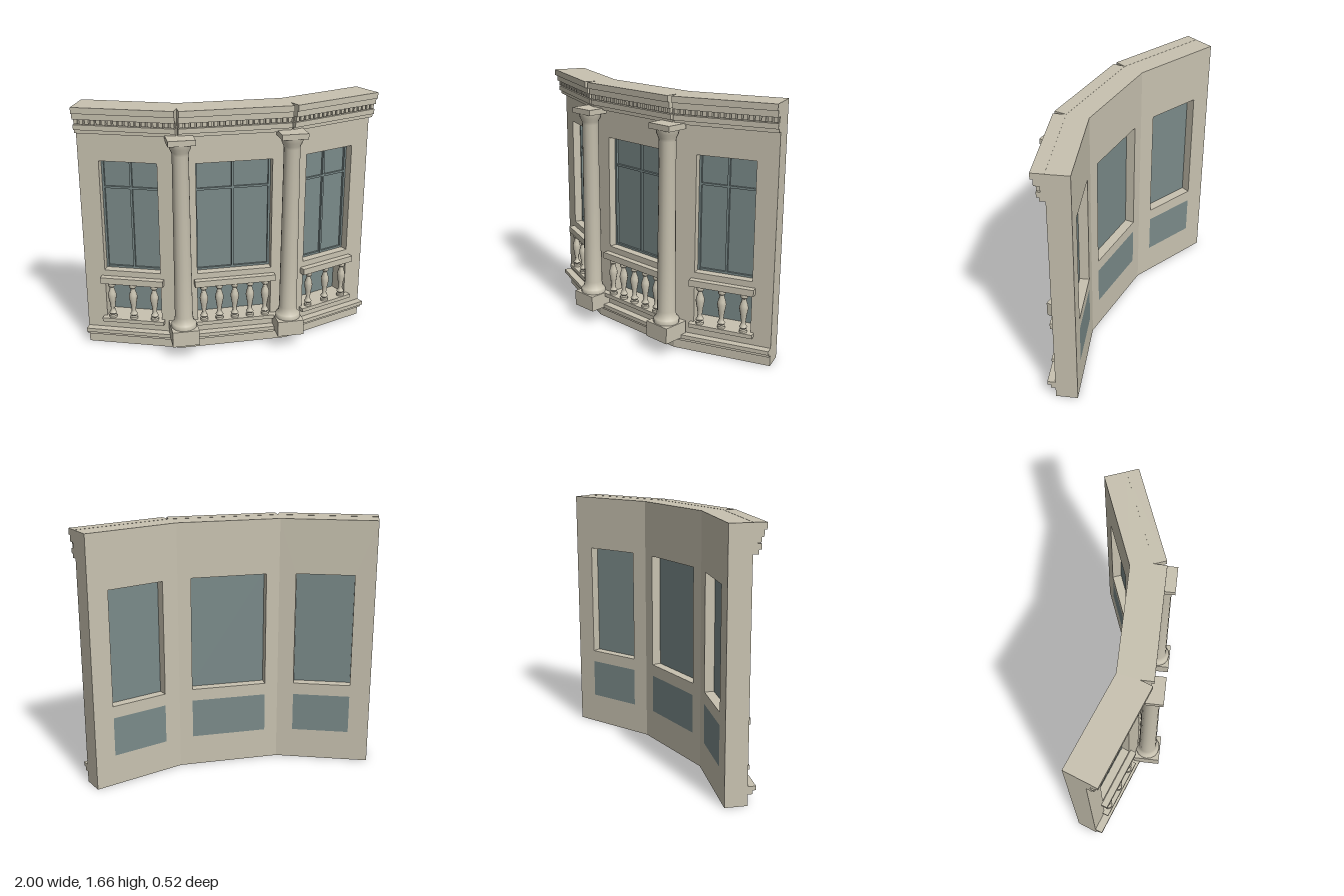
import * as THREE from 'three';
import { toCreasedNormals } from 'three/addons/utils/BufferGeometryUtils.js';

const stone = new THREE.MeshStandardMaterial({ color: 0xc8c2b0 });
stone.name = 'stone';
const glass = new THREE.MeshStandardMaterial({ color: 0x7a8a89 });
glass.name = 'glass';

const ANGLE = THREE.MathUtils.degToRad(21); // turn of each side bay
const T = 0.14;                             // wall thickness
const HALF = 0.363;                         // half width of the middle bay
const SIDE = 0.65;                          // width of a side bay
const TOP = 1.665;
const MITRE = T * Math.tan(ANGLE / 2);

function add(parent, name, geometry, material, x = 0, y = 0, z = 0) {
  const mesh = new THREE.Mesh(geometry, material);
  mesh.name = name;
  mesh.position.set(x, y, z);
  parent.add(mesh);
  return mesh;
}

// Box given by its limits on each axis
function block(parent, name, x0, x1, y0, y1, z0, z1, material = stone) {
  return add(parent, name, new THREE.BoxGeometry(x1 - x0, y1 - y0, z1 - z0), material,
    (x0 + x1) / 2, (y0 + y1) / 2, (z0 + z1) / 2);
}

function turned(points, sides) {
  const profile = points.map(([r, y]) => new THREE.Vector2(r, y));
  return toCreasedNormals(new THREE.LatheGeometry(profile, sides), 0.8);
}

function rectPath(path, x0, x1, y0, y1) {
  path.moveTo(x0, y0);
  path.lineTo(x1, y0);
  path.lineTo(x1, y1);
  path.lineTo(x0, y1);
  path.closePath();
  return path;
}

// Wall slab with two openings; mitred ends are drawn in at the back
function wallGeometry(h, w, mitreLeft, mitreRight) {
  const shape = rectPath(new THREE.Shape(), -h, h, 0, TOP - 0.001);
  shape.holes.push(rectPath(new THREE.Path(), -w, w, 0.545, 1.305));
  shape.holes.push(rectPath(new THREE.Path(), -w, w, 0.205, 0.465));
  const g = new THREE.ExtrudeGeometry(shape, { depth: T, bevelEnabled: false });
  g.translate(0, 0, -T);
  const p = g.attributes.position;
  for (let i = 0; i < p.count; i++) {
    if (p.getZ(i) > -T / 2) continue;
    if (mitreLeft && p.getX(i) < -h + 0.001) p.setX(i, -h + MITRE);
    if (mitreRight && p.getX(i) > h - 0.001) p.setX(i, h - MITRE);
  }
  g.computeVertexNormals();
  return g;
}

const balusterGeometry = turned([
  [0, 0.205], [0.026, 0.205], [0.026, 0.222], [0.018, 0.228], [0.027, 0.24], [0.018, 0.253],
  [0.014, 0.27], [0.02, 0.315], [0.029, 0.365], [0.026, 0.385], [0.015, 0.42],
  [0.014, 0.43], [0.024, 0.438], [0.024, 0.46], [0, 0.46],
], 10);

// Horizontal mouldings: bottom, top, projection from the wall
const mouldings = [
  ['plinthLowerMoulding', 0.072, 0.096, 0.03],
  ['plinthUpperMoulding', 0.096, 0.122, 0.051],
  ['architraveLower', 0.15 * 10 - 0.01, 1.515, 0.035],
  ['architraveUpper', 1.515, 1.548, 0.051],
  ['dentilBacking', 1.548, 1.585, 0.028],
  ['corniceLower', 1.585, 1.625, 0.064],
  ['corniceTop', 1.625, TOP, 0.08],
];

function makeBay(name, h, w, balusters, spacing, dentils, mitreLeft, mitreRight) {
  const bay = new THREE.Group();
  bay.name = name;
  add(bay, 'wall', wallGeometry(h, w, mitreLeft, mitreRight), stone);

  for (const [label, y0, y1, out] of mouldings) block(bay, label, -h, h, y0, y1, 0, out);
  // cap over the joint of cornice and wall
  const pitch = (2 * h) / dentils;
  for (let i = 0; i < dentils; i++) {
    const x = -h + (i + 0.5) * pitch;
    block(bay, 'dentil', x - 0.012, x + 0.012, 1.553, 1.585, 0.028, 0.05);
  }

  // Upper window: pane, outer frame, mullion and transom
  block(bay, 'windowPane', -w, w, 0.545, 1.305, -0.078, -0.07, glass);
  for (const x of [-w + 0.007, 0, w - 0.007]) {
    block(bay, 'windowUpright', x - 0.007, x + 0.007, 0.545, 1.305, -0.07, -0.054, glass);
  }
  for (const y of [0.552, 1.112, 1.298]) {
    block(bay, 'windowCrossbar', -w, w, y - 0.007, y + 0.007, -0.07, -0.056, glass);
  }
  block(bay, 'lowerPane', -w, w, 0.205, 0.465, -T, -T + 0.008, glass);

  // Balustrade
  const r = w + 0.022;
  block(bay, 'topRail', -r, r, 0.462, 0.505, -0.03, 0.042);
  block(bay, 'bottomRail', -r, r, 0.18, 0.206, -0.03, 0.042);
  for (let i = 0; i < balusters; i++) {
    add(bay, 'baluster', balusterGeometry, stone, (i - (balusters - 1) / 2) * spacing, 0, 0.01);
  }
  return bay;
}

const columnGeometry = turned([
  [0, 0.205], [0.084, 0.205], [0.084, 0.228], [0.078, 0.236], [0.066, 0.25], [0.06, 0.285],
  [0.058, 0.6], [0.053, 1.39], [0.056, 1.41], [0.068, 1.435], [0.073, 1.465], [0, 1.465],
], 16);

function makeColumn(x) {
  const column = new THREE.Group();
  column.name = 'column';
  add(column, 'columnShaft', columnGeometry, stone, 0, 0, 0.168);
  block(column, 'columnPedestal', -0.089, 0.089, 0.1, 0.206, 0.08, 0.258);
  block(column, 'columnAbacus', -0.086, 0.086, 1.464, 1.5, 0.097, 0.245);
  column.position.x = x;
  return column;
}

export function createModel() {
  const model = new THREE.Group();
  model.name = 'curvedFacade';

  const middle = makeBay('middleBay', HALF, 0.25, 5, 0.105, 20, true, true);
  middle.position.z = 0.1;
  model.add(middle);

  for (const s of [-1, 1]) {
    const bay = makeBay(s > 0 ? 'leftBay' : 'rightBay', SIDE / 2, 0.19, 3, 0.145, 18, s > 0, s < 0);
    bay.rotation.y = s * ANGLE;
    bay.position.set(s * (HALF + Math.cos(ANGLE) * SIDE / 2), 0, 0.1 - Math.sin(ANGLE) * SIDE / 2);
    model.add(bay);
    model.add(makeColumn(s * 0.356));
  }
  return model;
}
